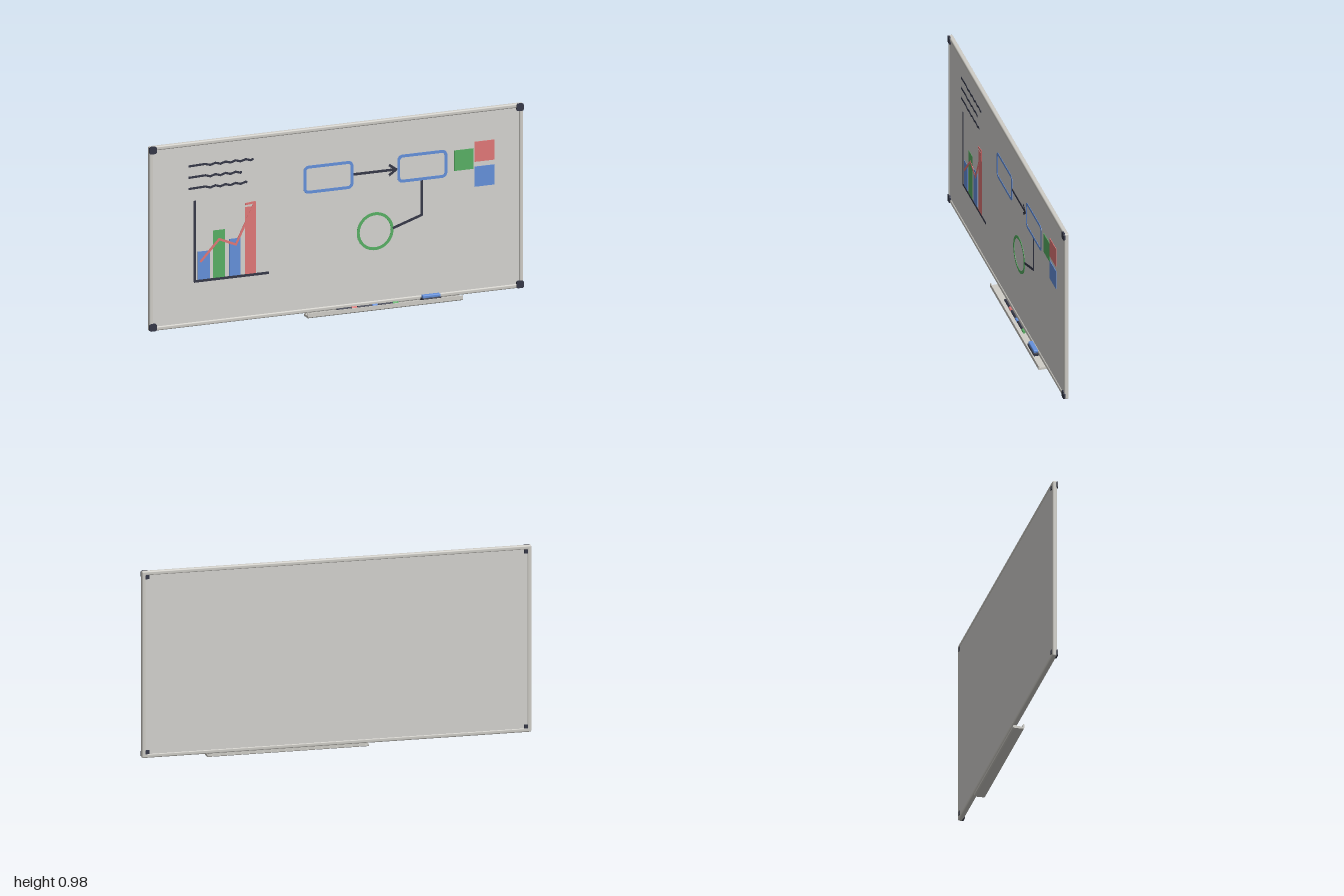
import * as THREE from 'three';
import { RoundedBoxGeometry } from 'three/addons/geometries/RoundedBoxGeometry.js';

const mat = (name, color) => new THREE.MeshStandardMaterial({ name, color });

// Rounded rectangle centred on (x, y)
function roundedRect(path, x, y, w, h, r) {
  const a = x - w / 2, b = x + w / 2, c = y - h / 2, d = y + h / 2;
  path.absarc(b - r, c + r, r, -Math.PI / 2, 0);
  path.absarc(b - r, d - r, r, 0, Math.PI / 2);
  path.absarc(a + r, d - r, r, Math.PI / 2, Math.PI);
  path.absarc(a + r, c + r, r, Math.PI, Math.PI * 1.5);
  path.closePath();
  return path;
}

export function createModel() {
  const model = new THREE.Group();
  model.name = 'whiteboard';
  const white = mat('board white', 0xd6d4d1);
  const metal = mat('frame grey', 0xcfcdc7);
  const dark = mat('dark ink', 0x353848);
  const blue = mat('blue', 0x6591dc);
  const green = mat('green', 0x58b064);
  const red = mat('red', 0xe27878);

  const add = (name, geometry, material, x = 0, y = 0, z = 0, parent = model) => {
    const mesh = new THREE.Mesh(geometry, material);
    mesh.name = name;
    mesh.position.set(x, y, z);
    parent.add(mesh);
    return mesh;
  };
  const extrude = (shape, depth) =>
    new THREE.ExtrudeGeometry(shape, { depth, bevelEnabled: false, curveSegments: 8 });

  // Writing panel and rounded frame
  const bottom = 0.018, top = 0.975, mid = (bottom + top) / 2, bar = 0.022;
  add('panel', new THREE.BoxGeometry(1.97, top - bottom - 0.03, 0.017), white, 0, mid, -0.0175);
  for (const s of [-1, 1]) {
    add('frameSide', new RoundedBoxGeometry(bar, top - bottom, 0.024, 3, 0.007), metal,
      s * (1 - bar / 2), mid, -0.016);
    add('frameRail', new RoundedBoxGeometry(2, bar, 0.024, 3, 0.007), metal,
      0, mid + s * ((top - bottom) / 2 - bar / 2), -0.016);
  }

  // Dark corner caps on the front and small pads on the back
  const cap = extrude(roundedRect(new THREE.Shape(), 0, 0, 0.038, 0.038, 0.009), 0.009);
  for (const sx of [-1, 1]) {
    for (const sy of [-1, 1]) {
      const y = mid + sy * (top - bottom) / 2;
      add('cornerCap', cap, dark, sx * 0.981, y - sy * 0.019, -0.0095);
      add('backPad', new THREE.BoxGeometry(0.02, 0.02, 0.004), dark, sx * 0.972, y - sy * 0.03, -0.0275);
    }
  }

  // Drawings: thin plates on the panel face
  const face = -0.009;
  const drawing = new THREE.Group();
  drawing.name = 'drawings';
  model.add(drawing);
  const plate = (name, material, x0, x1, y0, y1, t = 0.0015) =>
    add(name, new THREE.BoxGeometry(x1 - x0, y1 - y0, t), material,
      (x0 + x1) / 2, (y0 + y1) / 2, face + t / 2, drawing);
  const stroke = (name, material, points, w = 0.013, t = 0.002) => {
    for (let i = 1; i < points.length; i++) {
      const [ax, ay] = points[i - 1], [bx, by] = points[i];
      const length = Math.hypot(bx - ax, by - ay) + w * 0.5;
      add(name, new THREE.BoxGeometry(length, w, t), material,
        (ax + bx) / 2, (ay + by) / 2, face + t / 2, drawing)
        .rotation.z = Math.atan2(by - ay, bx - ax);
    }
  };

  // Wavy handwriting lines
  for (const [y, end] of [[0.85, -0.445], [0.791, -0.51], [0.733, -0.478]]) {
    const points = [[-0.787, y]];
    for (let x = -0.7, i = 0; x < end; x += 0.027, i++) points.push([x, y + (i % 2 ? -0.005 : 0.003)]);
    points.push([end, y]);
    stroke('handwriting', dark, points, 0.011);
  }

  // Bar chart with axes and trend arrow
  plate('bar', blue, -0.74, -0.676, 0.255, 0.402);
  plate('bar', green, -0.658, -0.594, 0.255, 0.503);
  plate('bar', blue, -0.572, -0.513, 0.255, 0.449);
  plate('bar', red, -0.487, -0.428, 0.255, 0.605);
  stroke('axis', dark, [[-0.757, 0.665], [-0.757, 0.25], [-0.363, 0.25]]);
  stroke('trendLine', red, [[-0.725, 0.35], [-0.626, 0.455], [-0.537, 0.417], [-0.436, 0.622]], 0.012, 0.003);
  stroke('trendHead', red, [[-0.484, 0.62], [-0.434, 0.625], [-0.434, 0.575]], 0.011, 0.003);

  // Flow chart: two boxes, arrow, connector and circle
  for (const x of [-0.042, 0.46]) {
    const outline = roundedRect(new THREE.Shape(), x, 0.708, 0.267, 0.145, 0.028);
    outline.holes.push(roundedRect(new THREE.Path(), x, 0.708, 0.237, 0.115, 0.014));
    add('flowBox', extrude(outline, 0.002), blue, 0, 0, face, drawing);
  }
  stroke('flowArrow', dark, [[0.093, 0.708], [0.32, 0.708]]);
  stroke('flowArrowHead', dark, [[0.285, 0.733], [0.32, 0.708], [0.285, 0.683]]);
  stroke('connector', dark, [[0.456, 0.635], [0.456, 0.456], [0.305, 0.406]]);
  const ring = new THREE.Shape().absarc(0.208, 0.4, 0.098, 0, Math.PI * 2);
  ring.holes.push(new THREE.Path().absarc(0.208, 0.4, 0.083, 0, Math.PI * 2));
  add('flowCircle', new THREE.ExtrudeGeometry(ring, { depth: 0.002, bevelEnabled: false, curveSegments: 32 }),
    green, 0, 0, face, drawing);

  // Sticky notes
  plate('stickyNote', green, 0.631, 0.733, 0.664, 0.77, 0.003);
  plate('stickyNote', red, 0.738, 0.845, 0.699, 0.803, 0.003);
  plate('stickyNote', blue, 0.738, 0.845, 0.57, 0.674, 0.003);

  // Tray: lipped profile swept along x (profile x becomes -z)
  const profile = new THREE.Shape([
    [0.027, 0.004], [0.027, 0.012], [-0.021, 0.012], [-0.023, 0.014], [-0.024, 0.025],
    [-0.03, 0.025], [-0.03, 0.005], [-0.025, 0], [0.02, 0],
  ].map(([x, y]) => new THREE.Vector2(x, y)));
  add('tray', extrude(profile, 0.829), metal, -0.166).rotation.y = Math.PI / 2;
  add('trayMount', new THREE.BoxGeometry(0.82, 0.012, 0.016), metal, 0.2485, 0.016, -0.017);

  // Three markers lying end to end
  [red, blue, green].forEach((colour, i) => {
    const marker = new THREE.Group();
    marker.name = 'marker';
    marker.position.set(i * 0.11, 0.019, 0.001);
    model.add(marker);
    const part = (name, material, x0, x1, r) =>
      add(name, new THREE.CylinderGeometry(r, r, x1 - x0, 16), material, (x0 + x1) / 2, 0, 0, marker)
        .rotation.z = Math.PI / 2;
    part('markerBody', dark, 0, 0.078, 0.006);
    part('markerCap', colour, 0.078, 0.106, 0.007);
  });

  // Eraser: dark felt under a blue grip
  add('eraserFelt', new RoundedBoxGeometry(0.102, 0.018, 0.034, 2, 0.003), dark, 0.5, 0.021, 0.005);
  add('eraserGrip', new RoundedBoxGeometry(0.096, 0.017, 0.024, 3, 0.005), blue, 0.5, 0.0365, 0.007);

  return model;
}
